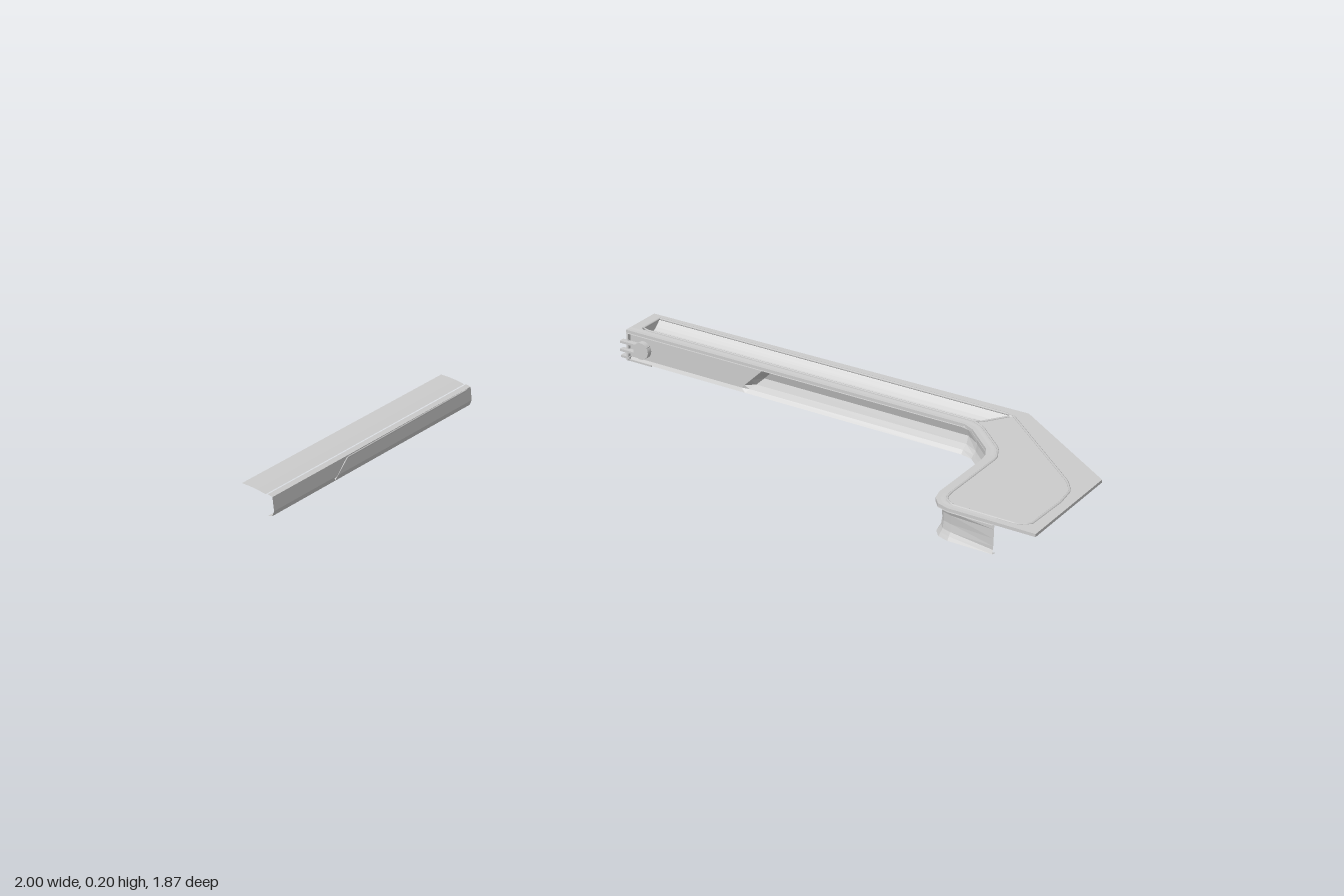
import * as THREE from 'three';

const material = new THREE.MeshStandardMaterial({ color: 0xcccccc, side: THREE.DoubleSide });

function add(group, name, geometry) {
  const mesh = new THREE.Mesh(geometry, material);
  mesh.name = name;
  group.add(mesh);
  return mesh;
}

// Skin between rows of points; each quad keeps its own corners so edges stay crisp
function skin(rows) {
  const points = [];
  for (let i = 0; i < rows.length - 1; i++) {
    for (let j = 0; j < rows[i].length - 1; j++) {
      const a = rows[i][j], b = rows[i + 1][j], c = rows[i + 1][j + 1], d = rows[i][j + 1];
      points.push(...a, ...b, ...c, ...a, ...c, ...d);
    }
  }
  const g = new THREE.BufferGeometry();
  g.setAttribute('position', new THREE.Float32BufferAttribute(points, 3));
  g.computeVertexNormals();
  return g;
}

function box(group, name, size, position) {
  add(group, name, new THREE.BoxGeometry(...size)).position.set(...position);
}

// Thin raised line following x/z points at one height
function bead(group, name, points, y, radius) {
  const path = new THREE.CurvePath();
  const v = points.map(([x, z]) => new THREE.Vector3(x, y, z));
  for (let i = 0; i < v.length - 1; i++) path.add(new THREE.LineCurve3(v[i], v[i + 1]));
  add(group, name, new THREE.TubeGeometry(path, 90, radius, 6));
}

// Inner edge of the panel: long side, bend, short side, rounded front corner
const innerEdge = [
  [-0.83, -0.755], [0.47, -0.755], [0.51, -0.735], [0.61, -0.64], [0.63, -0.6],
  [0.635, -0.56], [0.635, -0.31], [0.645, -0.27], [0.67, -0.24], [0.71, -0.228],
];

function createTopPlate(group) {
  const outline = [...innerEdge, [1, -0.23], [1, -0.65], [0.6, -0.935], [-0.83, -0.92]];
  const flip = (list) => list.map(([x, z]) => new THREE.Vector2(x, -z));
  const shape = new THREE.Shape(flip(outline));
  const opening = [[-0.79, -0.895], [0.57, -0.895], [0.5, -0.79], [-0.79, -0.79]];
  shape.holes.push(new THREE.Path(flip(opening)));
  const g = new THREE.ExtrudeGeometry(shape, { depth: 0.01, bevelEnabled: false });
  g.rotateX(-Math.PI / 2);
  g.translate(0, 0.107, 0);
  add(group, 'topPlate', g);

  // Hollow scooped into the long side
  const rows = [];
  for (let i = 0; i <= 10; i++) {
    const t = i / 10, y = 0.115 - 0.035 * Math.sin(Math.PI * t);
    const z = -0.895 + 0.105 * t;
    rows.push([[-0.79, y, z], [0.57 - 0.07 * t, y, z]]);
  }
  add(group, 'channel', skin(rows));
  for (const k of [0, 1]) {
    add(group, 'channelEnd', skin([rows.map((r) => r[k]), rows.map((r) => [r[k][0], 0.115, r[k][2]])]));
  }
  bead(group, 'channelBead', [...opening, opening[0]], 0.117, 0.004);
  bead(group, 'armBead', [
    [0.57, -0.89], [0.92, -0.58], [0.955, -0.53], [0.965, -0.45], [0.96, -0.28],
    [0.93, -0.255], [0.71, -0.255], [0.675, -0.28], [0.668, -0.32], [0.668, -0.6],
    [0.64, -0.66], [0.53, -0.765], [0.49, -0.785],
  ], 0.117, 0.004);
}

// Hanging wall, with a recessed panel that starts on a slant
function createSideWall(group) {
  const path = [
    [-0.83, -0.755, 0], [-0.33, -0.755, 0], [-0.3, -0.755, 1], [0.46, -0.755, 1],
    [0.5, -0.745, 0.4], ...innerEdge.slice(2).map(([x, z]) => [x, z, 0.3]), [0.86, -0.228, 0],
  ];
  // Inward offset, height, extra inward offset inside the recess
  const section = [
    [0.025, 0.118, 0], [0.004, 0.116, 0], [0, 0.104, 0], [0.012, 0.1, 0.004], [0.012, 0.085, 0.025],
    [0.012, 0.055, 0.035], [0.012, 0.03, 0.025], [0.012, 0.018, 0.004], [0.006, 0.006, 0], [0.03, 0, 0],
  ];
  const rows = path.map(([x, z, recess], i) => {
    const p = path[Math.max(i - 1, 0)], n = path[Math.min(i + 1, path.length - 1)];
    const dx = n[0] - p[0], dz = n[1] - p[1], length = Math.hypot(dx, dz);
    const slant = i === 1 || i === 2 ? 1 : 0;
    return section.map(([offset, y, extra]) => {
      const d = offset + extra * recess;
      return [x + (dz / length) * d + slant * (y - 0.06), y, z - (dx / length) * d];
    });
  });
  add(group, 'sideWall', skin(rows));
}

// Closed left end with a small latch
function createEndConnector(group) {
  box(group, 'endCap', [0.008, 0.1, 0.12], [-0.825, 0.055, -0.815]);
  box(group, 'connectorFloor', [0.1, 0.006, 0.11], [-0.78, 0.006, -0.815]);
  box(group, 'latchBlock', [0.03, 0.06, 0.06], [-0.84, 0.06, -0.83]);
  box(group, 'latchLip', [0.035, 0.008, 0.11], [-0.835, 0.015, -0.81]);
  for (const y of [0.045, 0.075]) box(group, 'latchRib', [0.11, 0.008, 0.02], [-0.79, y, -0.75]);
  const boss = add(group, 'latchBoss', new THREE.CylinderGeometry(0.03, 0.03, 0.02, 20));
  boss.rotation.x = Math.PI / 2;
  boss.position.set(-0.76, 0.06, -0.75);
}

// Separate trim strip: gently sloping top and a wall with a turned-in foot
function createTrimStrip(group) {
  const sweep = (section) => skin([0.01, 0.93].map((z) => section.map(([x, y]) => [x, y, z])));
  add(group, 'stripTop', sweep([[-1, 0.198], [-0.97, 0.197], [-0.94, 0.194], [-0.908, 0.188]]));
  add(group, 'stripWall', sweep([[-0.9, 0.19], [-0.882, 0.186], [-0.88, 0.14], [-0.888, 0.122], [-0.905, 0.118]]));
  // Slanted fold lines on the wall face
  const fold = [[0.66, 0.13], [0.6, 0.18], [0.03, 0.183]].map(([z, y]) => new THREE.Vector3(-0.882, y, z));
  for (let i = 0; i < 2; i++) {
    add(group, 'stripFold', new THREE.TubeGeometry(new THREE.LineCurve3(fold[i], fold[i + 1]), 1, 0.003, 6));
  }
}

export function createModel() {
  const model = new THREE.Group();
  const parts = { panel: [createTopPlate, createSideWall, createEndConnector], trimStrip: [createTrimStrip] };
  for (const [name, builders] of Object.entries(parts)) {
    const group = new THREE.Group();
    group.name = name;
    builders.forEach((build) => build(group));
    model.add(group);
  }
  return model;
}
